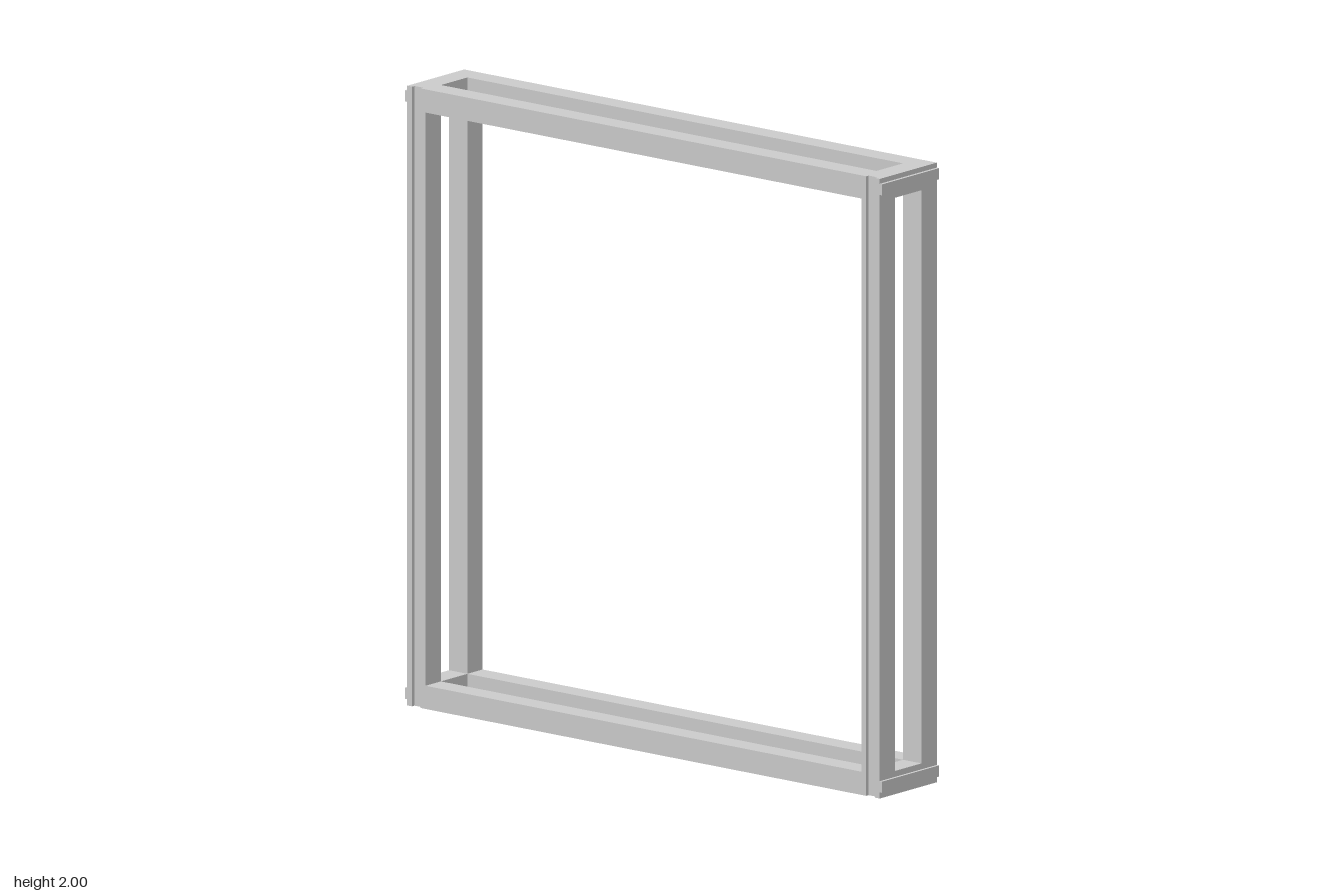
import * as THREE from 'three';

const W = 0.963, H = 2, D = 0.14, T = 0.075; // half width, height, half depth, bar size

export function createModel() {
  const model = new THREE.Group();
  const material = new THREE.MeshStandardMaterial({ color: 0xcccccc, flatShading: true });

  function add(name, geometry, x, y, z) {
    const mesh = new THREE.Mesh(geometry, material);
    mesh.name = name;
    mesh.position.set(x, y, z);
    model.add(mesh);
  }

  // Front upright: square bar with a shallow groove down its front face
  function groovedUpright(side) {
    const points = [[W - T, D - T], [W, D - T], [W, D], [0.943, D], [0.943, D - 0.012],
      [0.908, D - 0.012], [0.908, D], [W - T, D]];
    const shape = new THREE.Shape(points.map(([x, z]) => new THREE.Vector2(side * x, -z)));
    const geometry = new THREE.ExtrudeGeometry(shape, { depth: H, bevelEnabled: false });
    return geometry.rotateX(-Math.PI / 2);
  }

  for (const side of [-1, 1]) {
    const label = side > 0 ? 'left' : 'right';
    add(label + 'FrontUpright', groovedUpright(side), 0, 0, 0);
    add(label + 'BackUpright', new THREE.BoxGeometry(T, H, T), side * (W - T / 2), H / 2, -D + T / 2);

    for (const [level, y, ridgeY] of [['Bottom', T / 2, 0.038], ['Top', H - T / 2, H - 0.034]]) {
      // Short rail joining front and back, with a thin ridge on its outer face
      add(label + level + 'CrossRail', new THREE.BoxGeometry(T, T, 2 * (D - T)), side * (W - T / 2), y, 0);
      add(label + level + 'Ridge', new THREE.BoxGeometry(0.014, 0.036, 2 * D), side * (W + 0.003), ridgeY, 0);
    }
  }

  // Long rails across the front and back
  for (const [face, z] of [['front', D - T / 2], ['back', -D + T / 2]]) {
    for (const [level, y] of [['Bottom', T / 2], ['Top', H - T / 2]]) {
      add(face + level + 'Rail', new THREE.BoxGeometry(2 * (W - T), T, T), 0, y, z);
    }
  }
  return model;
}
